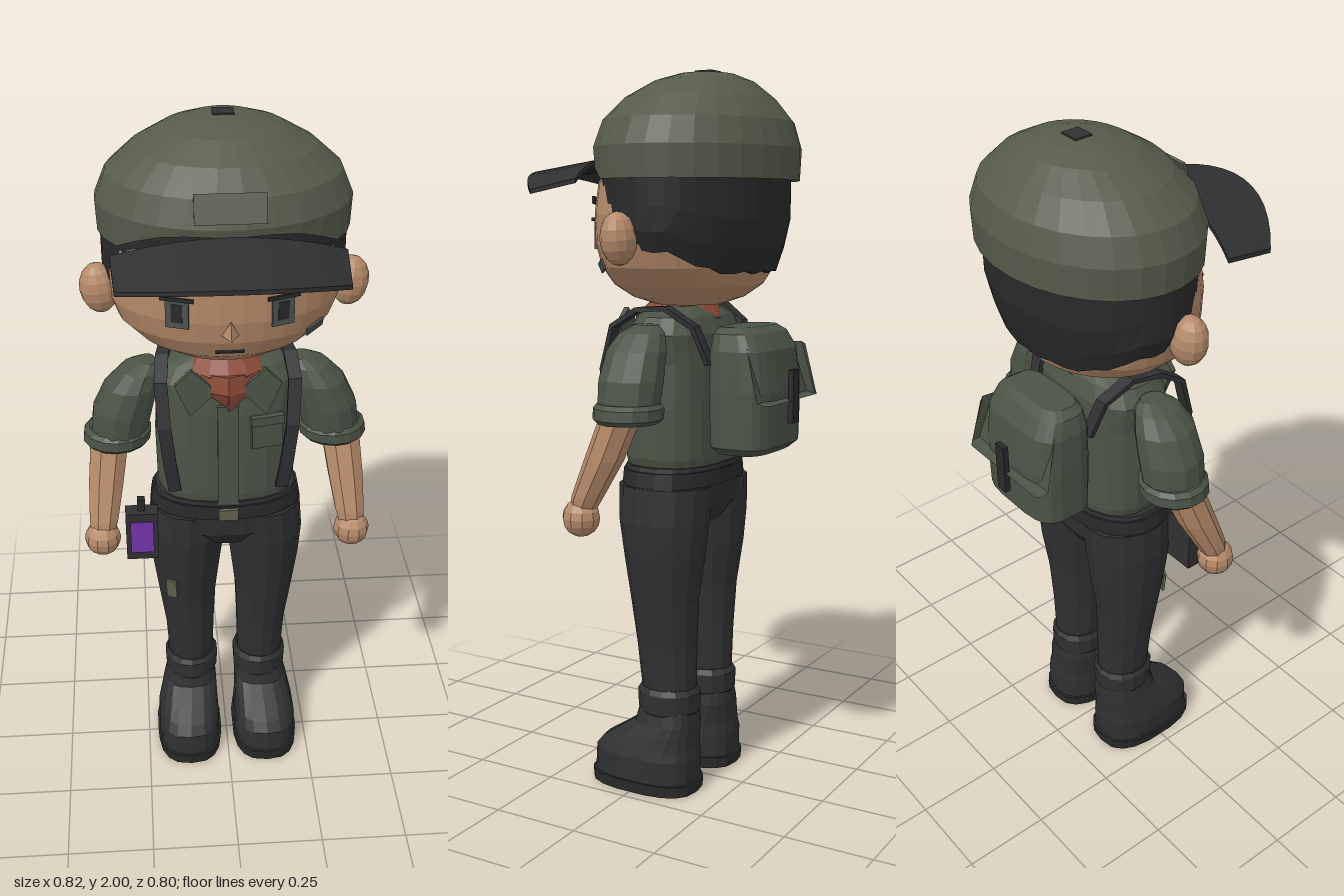
import * as THREE from 'three';

const mat = (name, color) => Object.assign(new THREE.MeshStandardMaterial({ color }), { name });

// Closed flat-faced surface through rings of points, capped at both ends
function skin(rings) {
  const pos = [];
  const tri = (...ps) => ps.forEach(p => pos.push(...p));
  const n = rings[0].length;
  const mid = r => [0, 1, 2].map(k => r.reduce((sum, p) => sum + p[k], 0) / n);
  const first = rings[0], last = rings[rings.length - 1], c0 = mid(first), c1 = mid(last);
  for (let j = 0; j < n; j++) {
    const k = (j + 1) % n;
    for (let i = 0; i < rings.length - 1; i++) {
      const a = rings[i], b = rings[i + 1];
      tri(a[j], b[j], a[k]);
      tri(a[k], b[j], b[k]);
    }
    tri(c0, first[j], first[k]);
    tri(c1, last[k], last[j]);
  }
  const g = new THREE.BufferGeometry();
  g.setAttribute('position', new THREE.Float32BufferAttribute(pos, 3));
  g.computeVertexNormals();
  return g;
}

// Stacked superellipses from bottom to top: [x, y, z, rx, rz]
function loft(sections, sides = 16, power = 2, warp = p => p) {
  const f = v => Math.sign(v) * Math.abs(v) ** (2 / power);
  return skin(sections.map(([x, y, z, rx, rz]) => Array.from({ length: sides }, (_, j) => {
    const t = (j + 0.5) / sides * Math.PI * 2;
    return warp([x + rx * f(Math.cos(t)), y, z + rz * f(Math.sin(t))]);
  })));
}

// Flat strap along a path, its width running along x
function ribbon(path, w, th) {
  const pts = path.map(p => new THREE.Vector3(...p));
  return skin(pts.map((p, i) => {
    const d = pts[Math.min(i + 1, pts.length - 1)].clone().sub(pts[Math.max(i - 1, 0)]);
    const n = d.cross(new THREE.Vector3(1, 0, 0)).normalize().multiplyScalar(th / 2);
    return [[1, 1], [1, -1], [-1, -1], [-1, 1]].map(([a, b]) => [p.x + a * w / 2, p.y + b * n.y, p.z + b * n.z]);
  }));
}

function flat(g) {
  const f = g.index ? g.toNonIndexed() : g;
  f.computeVertexNormals();
  return f;
}

function plate(points, depth) {
  return new THREE.ExtrudeGeometry(new THREE.Shape(points.map(p => new THREE.Vector2(...p))), { depth, bevelEnabled: false });
}

export function createModel() {
  const root = new THREE.Group();
  root.name = 'scout';
  const skinTone = mat('skin', 0xb58a69), capGreen = mat('cap green', 0x565b4a), shirt = mat('shirt green', 0x4b5346);
  const dark = mat('charcoal', 0x303032), black = mat('hair black', 0x29292a), red = mat('bandana red', 0x8a4a38);
  const purple = mat('screen purple', 0x7435ab), olive = mat('olive metal', 0x62614c), iris = mat('eye grey', 0x4b544d);

  const add = (name, g, m, pos = [0, 0, 0], rot = [0, 0, 0]) => {
    const mesh = new THREE.Mesh(g, m);
    mesh.name = name;
    mesh.position.set(...pos);
    mesh.rotation.set(...rot);
    root.add(mesh);
    return mesh;
  };
  const box = (name, size, m, pos, rot) => add(name, new THREE.BoxGeometry(...size), m, pos, rot);

  // Head
  const headRings = [
    [0, 1.375, -0.07, 0.1, 0.09], [0, 1.395, -0.07, 0.17, 0.15], [0, 1.43, -0.07, 0.235, 0.197], [0, 1.48, -0.07, 0.287, 0.222],
    [0, 1.54, -0.07, 0.31, 0.234], [0, 1.62, -0.07, 0.314, 0.236], [0, 1.7, -0.08, 0.31, 0.235], [0, 1.8, -0.09, 0.28, 0.215]];
  add('head', loft(headRings, 32), skinTone);
  add('neck', loft([[0, 1.28, -0.06, 0.085, 0.08], [0, 1.42, -0.06, 0.085, 0.08]], 12), skinTone);

  // Thin detail laid on the curve of the face
  const faceDetail = (name, w, h, x, y, m, lift = 0.002, roll = 0) => {
    const i = headRings.findIndex(r => r[1] > y), a = headRings[i - 1], b = headRings[i];
    const t = (y - a[1]) / (b[1] - a[1]);
    const rx = a[3] + (b[3] - a[3]) * t, rz = a[4] + (b[4] - a[4]) * t;
    const dz = rz * Math.sqrt(1 - (x / rx) ** 2), yaw = Math.atan2(x / rx ** 2, dz / rz ** 2);
    const mesh = box(name, [w, h, 0.006], m, [x + lift * Math.sin(yaw), y, -0.07 + dz + lift * Math.cos(yaw)]);
    mesh.rotation.set(y < 1.5 ? 0.35 : 0, yaw, roll, 'YXZ');
  };
  for (const s of [-1, 1]) {
    faceDetail('iris', 0.062, 0.078, s * 0.135, 1.565, iris);
    faceDetail('pupil', 0.03, 0.05, s * 0.135, 1.567, black, 0.004);
    faceDetail('eyelid', 0.09, 0.01, s * 0.135, 1.606, black, 0.005);
    faceDetail('eyebrow', 0.092, 0.02, s * 0.135, 1.655, black, 0.004, s * 0.08);
    add('ear', flat(new THREE.SphereGeometry(1, 12, 8).scale(0.052, 0.07, 0.047)), skinTone, [s * 0.335, 1.557, -0.048], [0, 0, -s * 0.12]);
  }
  faceDetail('mouth', 0.075, 0.006, 0, 1.45, black);
  faceDetail('cheekMark', 0.06, 0.028, 0.225, 1.482, iris, 0.004, 0.25);
  add('nose', flat(new THREE.ConeGeometry(0.026, 0.045, 3)), skinTone, [0, 1.528, 0.17]);

  // Hair shell whose lower edge changes around the head
  const hairEdge = new THREE.SplineCurve([[0, 1.73], [0.75, 1.71], [1.1, 1.64], [1.4, 1.54], [1.9, 1.52], [2.4, 1.475], [2.8, 1.465], [3.15, 1.47]]
    .map(p => new THREE.Vector2(...p)));
  const edgeY = a => {
    for (let i = 0; i <= 80; i++) {
      const p = hairEdge.getPoint(i / 80);
      if (p.x >= a) return p.y + 0.006 * Math.sin(a * 14);
    }
    return 1.47;
  };
  const hairRows = [-1, 0, 0.2, 0.45, 0.7, 1].map(v => Array.from({ length: 40 }, (_, j) => {
    const t = j / 40 * Math.PI * 2, a = Math.acos(Math.max(-1, Math.min(1, Math.sin(t))));
    const low = edgeY(a), y = low + Math.max(v, 0) * (1.78 - low);
    const k = (1 - 1.3 * Math.max(0, 1.58 - y)) * (v < 0 ? 0.84 : 1);
    return [0.325 * k * Math.cos(t), y, -0.095 + 0.237 * k * Math.sin(t)];
  }));
  add('hair', skin(hairRows), black);

  // Cap, raised over the forehead, with an arched brim
  const raise = ([x, y, z]) => [x, y < 1.72 ? y + 0.065 * Math.min(1, Math.max(0, (z - 0.04) / 0.1)) : y, z];
  add('capCrown', loft([
    [0, 1.71, -0.098, 0.333, 0.262], [0, 1.795, -0.098, 0.337, 0.266], [0, 1.865, -0.1, 0.308, 0.245], [0, 1.925, -0.105, 0.24, 0.195],
    [0, 1.97, -0.115, 0.155, 0.132], [0, 1.99, -0.122, 0.085, 0.075], [0, 1.996, -0.125, 0.03, 0.03]], 28, 2, raise), capGreen);
  box('capButton', [0.055, 0.012, 0.05], dark, [0, 1.994, -0.125]);
  box('capPanel', [0.18, 0.075, 0.008], capGreen, [0, 1.845, 0.151], [-0.38, 0, 0]);
  add('capBrim', skin(Array.from({ length: 15 }, (_, i) => {
    const u = i / 7 - 1, q = u * u;
    const back = [0.3 * u, 1.777 - 0.065 * q, 0.165 - 0.06 * q], front = [0.29 * u, 1.745 - 0.06 * q, 0.4 - 0.14 * q];
    const under = ([x, y, z]) => [x, y - 0.012, z];
    return [front, back, under(back), under(front)];
  })), dark);

  // Shirt
  add('shirtBody', loft([
    [0, 0.925, -0.055, 0.185, 0.125], [0, 0.96, -0.055, 0.197, 0.13], [0, 1.1, -0.055, 0.2, 0.13], [0, 1.22, -0.055, 0.195, 0.13],
    [0, 1.3, -0.058, 0.205, 0.122], [0, 1.345, -0.06, 0.175, 0.1], [0, 1.372, -0.06, 0.1, 0.075]], 20, 2.6), shirt);
  box('placket', [0.058, 0.32, 0.012], shirt, [0, 1.09, 0.074]);
  box('chestPocket', [0.088, 0.09, 0.014], shirt, [0.108, 1.16, 0.068], [0, 0.2, 0]);
  box('pocketFlap', [0.094, 0.026, 0.02], shirt, [0.108, 1.2, 0.069], [0, 0.2, 0]);

  // Bandana and collar
  add('bandanaBand', loft([
    [0, 1.315, -0.04, 0.115, 0.115], [0, 1.34, -0.04, 0.122, 0.125], [0, 1.378, -0.05, 0.095, 0.095]], 14), red);
  add('bandanaFront', skin([
    [[0, 1.245, 0.1], [0.004, 1.25, 0.08], [-0.004, 1.25, 0.08]],
    [[0, 1.3, 0.112], [0.07, 1.295, 0.07], [-0.07, 1.295, 0.07]],
    [[0, 1.35, 0.1], [0.115, 1.335, 0.03], [-0.115, 1.335, 0.03]]].map(r => [r[0], r[2], r[1]])), red);
  for (const s of [-1, 1]) {
    add('collar', plate([[0.03 * s, 1.3], [0.105 * s, 1.225], [0.145 * s, 1.32], [0.1 * s, 1.365]], 0.014), shirt, [0, 0, 0.068]);
  }

  for (const s of [-1, 1]) {
    // Arms
    add('sleeve', loft([
      [s * 0.305, 1.09, -0.055, 0.08, 0.084], [s * 0.287, 1.19, -0.055, 0.085, 0.09], [s * 0.26, 1.265, -0.055, 0.076, 0.084],
      [s * 0.235, 1.31, -0.058, 0.055, 0.064], [s * 0.215, 1.33, -0.06, 0.026, 0.035]], 12), shirt);
    add('sleeveCuff', loft([
      [s * 0.308, 1.078, -0.058, 0.084, 0.082], [s * 0.308, 1.09, -0.058, 0.096, 0.094],
      [s * 0.304, 1.118, -0.058, 0.096, 0.094], [s * 0.302, 1.13, -0.058, 0.084, 0.084]], 14), shirt);
    add('forearm', loft([[s * 0.358, 0.84, 0.055, 0.036, 0.036], [s * 0.354, 0.88, 0.04, 0.044, 0.044],
      [s * 0.343, 0.98, -0.005, 0.053, 0.054], [s * 0.328, 1.1, -0.05, 0.058, 0.056]], 8), skinTone);
    add('hand', flat(new THREE.SphereGeometry(0.052, 10, 8)), skinTone, [s * 0.36, 0.82, 0.058]);

    // Legs
    add('trouserLeg', loft([
      [s * 0.107, 0.2, -0.068, 0.066, 0.074], [s * 0.108, 0.3, -0.068, 0.07, 0.08], [s * 0.11, 0.42, -0.063, 0.075, 0.088],
      [s * 0.116, 0.55, -0.058, 0.087, 0.098], [s * 0.117, 0.68, -0.058, 0.104, 0.117], [s * 0.114, 0.78, -0.055, 0.114, 0.13],
      [s * 0.105, 0.88, -0.055, 0.115, 0.135]], 14), dark);
    add('bootCuff', loft([
      [s * 0.107, 0.22, -0.068, 0.074, 0.08], [s * 0.107, 0.232, -0.068, 0.081, 0.09],
      [s * 0.107, 0.285, -0.068, 0.083, 0.092], [s * 0.107, 0.3, -0.068, 0.074, 0.082]], 14), dark);
    add('boot', loft([
      [s * 0.12, 0.03, -0.003, 0.096, 0.157], [s * 0.12, 0.1, -0.006, 0.095, 0.156], [s * 0.118, 0.128, -0.015, 0.09, 0.142],
      [s * 0.114, 0.165, -0.043, 0.085, 0.113], [s * 0.11, 0.195, -0.066, 0.08, 0.09], [s * 0.108, 0.235, -0.068, 0.072, 0.082]], 18, 2.7), dark);
    add('bootSole', loft([[s * 0.12, 0, -0.003, 0.1, 0.163], [s * 0.12, 0.032, -0.003, 0.102, 0.165]], 18, 2.7), black);

    // Pack straps over the shoulders
    add('packStrap', ribbon([
      [s * 0.12, 1.22, -0.2], [s * 0.14, 1.32, -0.165], [s * 0.16, 1.37, -0.09], [s * 0.175, 1.365, -0.01], [s * 0.182, 1.32, 0.062],
      [s * 0.175, 1.2, 0.098], [s * 0.162, 1.08, 0.095], [s * 0.15, 0.99, 0.082]], 0.036, 0.014), dark);
  }

  // Hips and belt
  add('hips', loft([
    [0, 0.77, -0.055, 0.09, 0.1], [0, 0.82, -0.055, 0.2, 0.132], [0, 0.88, -0.055, 0.217, 0.139], [0, 0.938, -0.055, 0.204, 0.134]], 20, 2.3), dark);
  add('belt', loft([[0, 0.883, -0.055, 0.22, 0.143], [0, 0.925, -0.055, 0.213, 0.141]], 20, 2.3), black);
  box('beltBuckle', [0.055, 0.034, 0.016], olive, [0, 0.903, 0.088]);
  box('kneePatch', [0.032, 0.062, 0.008], olive, [-0.165, 0.605, 0.038], [0.1, -0.45, 0.05]);

  // Handset on the hip
  box('handset', [0.092, 0.155, 0.05], dark, [-0.247, 0.823, 0.045]);
  box('handsetScreen', [0.066, 0.105, 0.006], purple, [-0.247, 0.823, 0.071]);
  box('handsetAntenna', [0.022, 0.045, 0.022], black, [-0.247, 0.915, 0.04]);

  // Backpack
  add('backpack', loft([
    [0, 0.98, -0.275, 0.125, 0.07], [0, 1.0, -0.278, 0.148, 0.09], [0, 1.15, -0.278, 0.15, 0.094],
    [0, 1.26, -0.272, 0.146, 0.086], [0, 1.305, -0.262, 0.132, 0.068], [0, 1.322, -0.255, 0.108, 0.05]], 20, 3.6), shirt);
  add('packFlap', skin([
    [[0.16, 1.125, -0.383], [0.158, 1.13, -0.36], [-0.158, 1.13, -0.36], [-0.16, 1.125, -0.383], [-0.145, 1.125, -0.396], [0.145, 1.125, -0.396]],
    [[0.142, 1.27, -0.35], [0.138, 1.27, -0.32], [-0.138, 1.27, -0.32], [-0.142, 1.27, -0.35], [-0.132, 1.265, -0.365], [0.132, 1.265, -0.365]],
  ].map(r => r.reverse())), shirt);
  box('packFastener', [0.036, 0.145, 0.016], black, [0, 1.135, -0.392]);

  return root;
}
